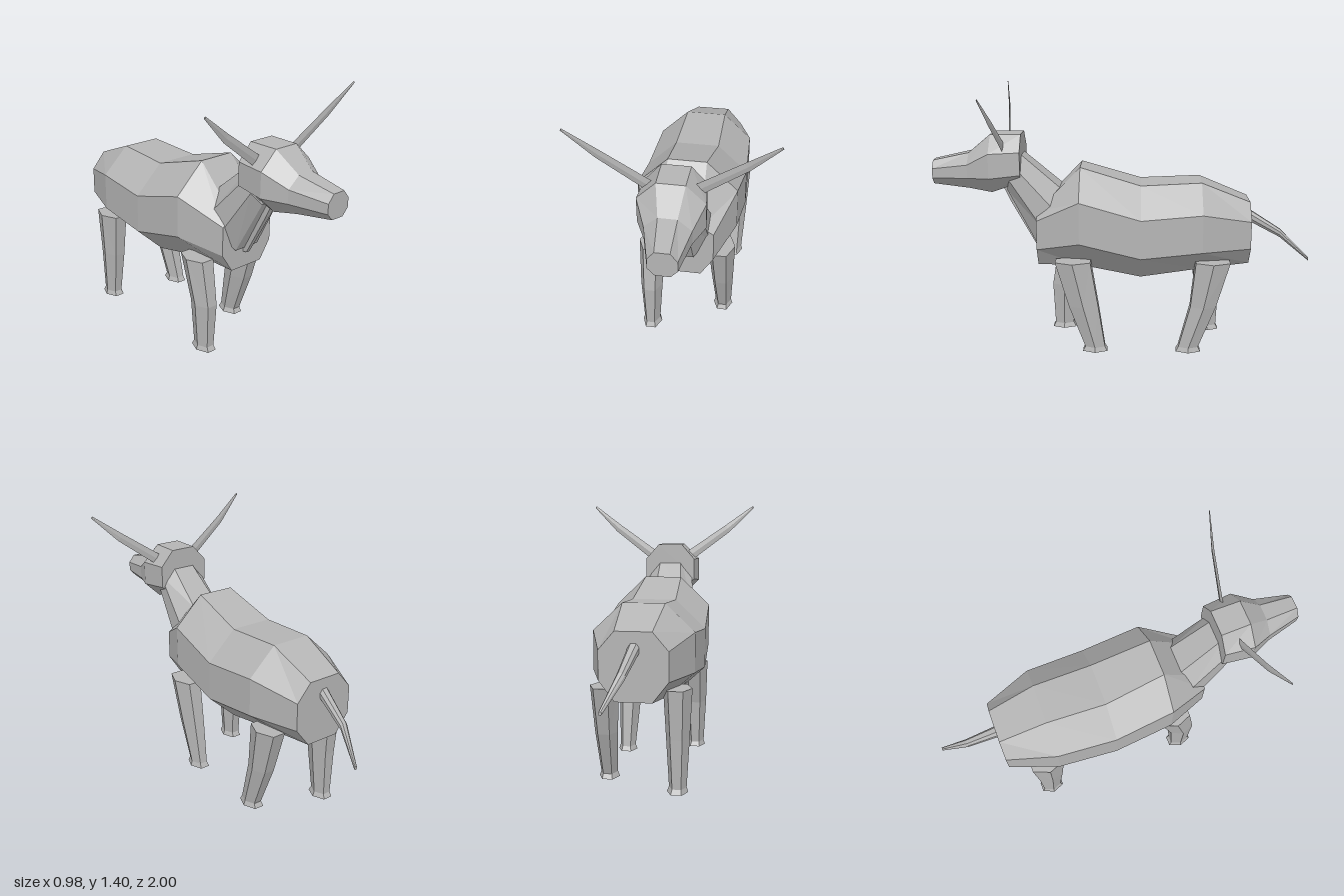
import * as THREE from 'three';

const hide = new THREE.MeshStandardMaterial({ color: 0xb4b4b4 });

// Flat-faced skin through closed rings of points, capped at both ends.
function loft(name, rings) {
  const pos = [];
  let volume = 0;
  const tris = [];
  const add = (a, b, c) => {
    tris.push([a, b, c]);
    volume += a.dot(new THREE.Vector3().crossVectors(b, c));
  };
  const n = rings[0].length;
  for (let r = 0; r < rings.length - 1; r++) {
    for (let i = 0; i < n; i++) {
      const j = (i + 1) % n;
      add(rings[r][i], rings[r][j], rings[r + 1][j]);
      add(rings[r][i], rings[r + 1][j], rings[r + 1][i]);
    }
  }
  const last = rings[rings.length - 1];
  for (let i = 1; i < n - 1; i++) {
    add(rings[0][0], rings[0][i + 1], rings[0][i]);
    add(last[0], last[i], last[i + 1]);
  }
  // Keep every face pointing outward whichever way the rings run.
  for (const [a, b, c] of tris) {
    for (const p of volume > 0 ? [a, b, c] : [a, c, b]) pos.push(p.x, p.y, p.z);
  }
  const geo = new THREE.BufferGeometry();
  geo.setAttribute('position', new THREE.Float32BufferAttribute(pos, 3));
  geo.computeVertexNormals();
  const mesh = new THREE.Mesh(geo, hide);
  mesh.name = name;
  return mesh;
}

// Upright octagon: z, half width, half width of the flats, four heights, x offset.
function octagon(z, w, flat, top, up, low, bottom, cx = 0) {
  return [[flat, top], [w, up], [w, low], [flat, bottom],
    [-flat, bottom], [-w, low], [-w, up], [-flat, top]]
    .map(([x, y]) => new THREE.Vector3(cx + x, y, z));
}

// Octagon leaning from a top point [z, y] to a bottom point [z, y].
function leaning(top, bottom, w, flat, cx = 0) {
  return octagon(0, w, flat, 0, 0.3, 0.68, 1, cx).map((p) => new THREE.Vector3(
    p.x,
    THREE.MathUtils.lerp(top[1], bottom[1], p.y),
    THREE.MathUtils.lerp(top[0], bottom[0], p.y)));
}

// Level hexagon with its points at the sides, used for the legs.
function hexagon(y, x0, x1, z0, z1) {
  const cx = (x0 + x1) / 2, cz = (z0 + z1) / 2;
  const w = (x1 - x0) / 2, d = (z1 - z0) / 2;
  return [[1, 0], [0.5, 1], [-0.5, 1], [-1, 0], [-0.5, -1], [0.5, -1]]
    .map(([a, b]) => new THREE.Vector3(cx + a * w, y, cz + b * d));
}

// Leg from z ranges at the top, knee and ankle, with a slightly flared hoof.
function leg(name, side, ground, top, knee, ankle) {
  const rings = [
    hexagon(0.52, 0.11, 0.255, ...top),
    hexagon(0.275, 0.125, 0.243, ...knee),
    hexagon(ground + 0.025, 0.142, 0.23, ...ankle),
    hexagon(ground, 0.132, 0.238, ankle[0] - 0.013, ankle[1] + 0.013),
  ];
  for (const ring of rings) for (const p of ring) p.x *= side;
  return loft(name, rings);
}

export function createModel() {
  const model = new THREE.Group();
  model.name = 'hornedCattle';

  model.add(loft('body', [
    octagon(0.45, 0.165, 0.1, 0.77, 0.73, 0.575, 0.475),
    octagon(0.22, 0.26, 0.1, 1.005, 0.85, 0.63, 0.47, -0.005),
    octagon(-0.1, 0.272, 0.115, 0.91, 0.76, 0.555, 0.41, -0.005),
    octagon(-0.42, 0.255, 0.107, 0.925, 0.785, 0.585, 0.455, -0.005),
    octagon(-0.68, 0.167, 0.09, 0.82, 0.73, 0.585, 0.485),
  ]));

  model.add(loft('neck', [
    leaning([0.33, 0.89], [0.46, 0.585], 0.15, 0.075, -0.01),
    leaning([0.56, 1.09], [0.61, 0.875], 0.125, 0.06),
  ]));

  // Thin fold of skin down the throat
  const fold = (cx, w, y, zFront, zBack) => [
    [w, zBack], [w * 0.6, zFront], [-w * 0.6, zFront], [-w, zBack],
  ].map(([x, z]) => new THREE.Vector3(cx + x, y, z));
  model.add(loft('dewlap', [
    fold(0, 0.03, 0.89, 0.64, 0.57),
    fold(-0.005, 0.025, 0.8, 0.6, 0.53),
    fold(-0.008, 0.018, 0.56, 0.47, 0.44),
  ]));

  model.add(loft('head', [
    octagon(0.53, 0.145, 0.07, 1.175, 1.09, 0.97, 0.92),
    octagon(0.69, 0.161, 0.068, 1.175, 1.085, 0.955, 0.866, 0.003),
    octagon(0.81, 0.11, 0.045, 1.075, 1.02, 0.95, 0.885, 0.01),
    octagon(1.0, 0.068, 0.035, 1.035, 0.995, 0.945, 0.91, 0.022),
  ]));

  // Long flat horns
  for (const side of [1, -1]) {
    const section = (x, y, z, w, t) => [
      [-0.6 * w, 0.8 * w, 0], [0, 0, t], [0.6 * w, -0.8 * w, 0], [0, 0, -t],
    ].map(([a, b, c]) => new THREE.Vector3(side * (x + a), y + b, z + c));
    model.add(loft(side > 0 ? 'leftHorn' : 'rightHorn', [
      section(0.1, 1.1, 0.615, 0.03, 0.005),
      section(0.335, 1.27, 0.643, 0.023, 0.004),
      section(0.486, 1.399, 0.672, 0.006, 0.002),
    ]));
  }

  // Tail swings a little to one side
  const tailRing = (x, y, z, w, h) =>
    octagon(z, w, w * 0.5, y + h, y + h * 0.4, y - h * 0.4, y - h, x);
  model.add(loft('tail', [
    tailRing(-0.003, 0.738, -0.67, 0.028, 0.032),
    tailRing(0.025, 0.637, -0.85, 0.02, 0.022),
    tailRing(0.085, 0.508, -1.0, 0.008, 0.009),
  ]));

  // Legs in mid-stride
  model.add(leg('leftFrontLeg', 1, 0.02, [0.165, 0.35], [0.125, 0.28], [0.09, 0.195]));
  model.add(leg('rightFrontLeg', -1, 0.01, [0.19, 0.36], [0.265, 0.4], [0.285, 0.39]));
  model.add(leg('leftHindLeg', 1, 0.02, [-0.57, -0.39], [-0.5, -0.365], [-0.41, -0.305]));
  model.add(leg('rightHindLeg', -1, 0, [-0.57, -0.39], [-0.55, -0.41], [-0.54, -0.44]));

  return model;
}
